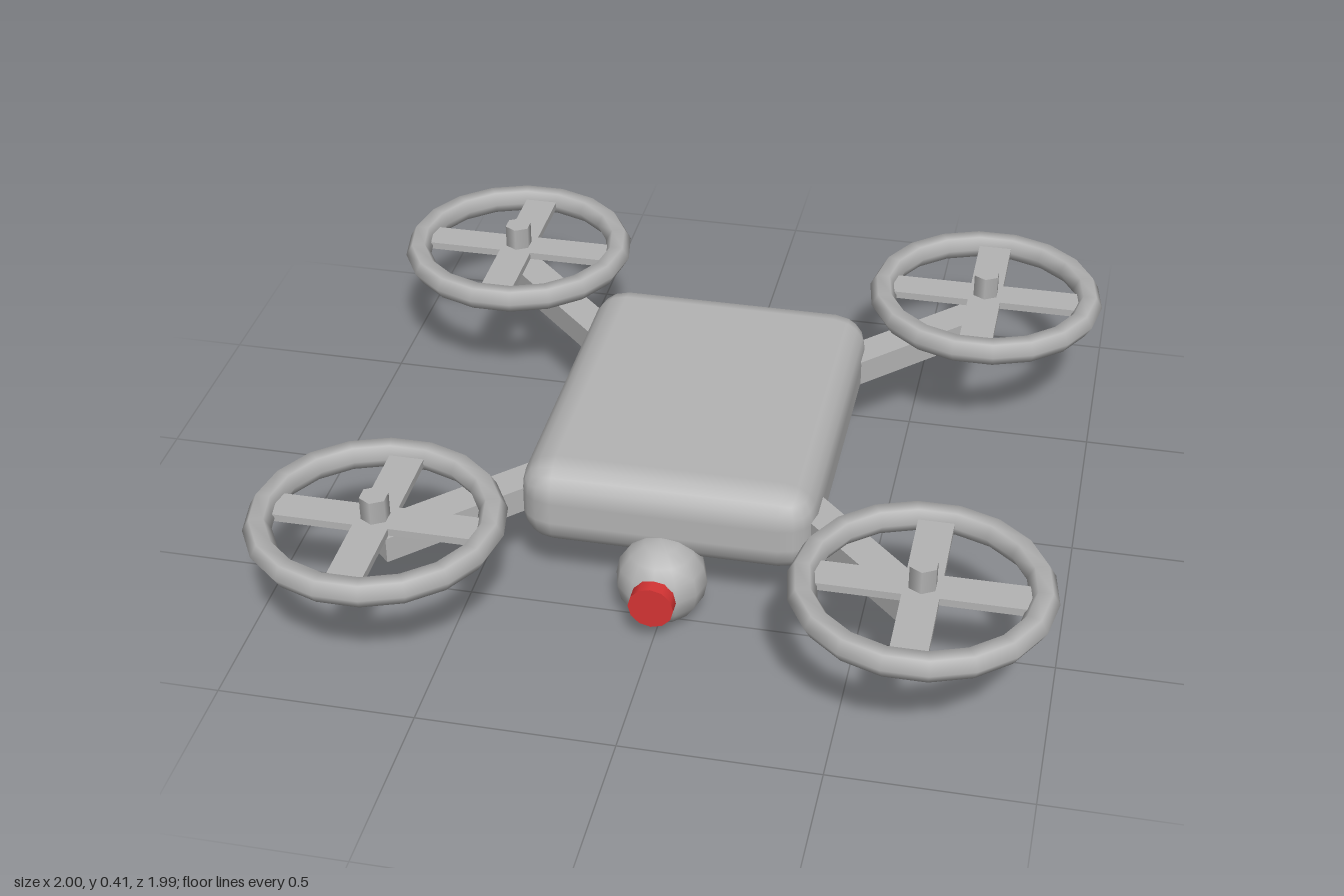
import * as THREE from 'three';
import { RoundedBoxGeometry } from 'three/addons/geometries/RoundedBoxGeometry.js';

export function createModel() {
  const grey = new THREE.MeshStandardMaterial({ color: 0xb4b4b4 });
  grey.name = 'light grey';
  const red = new THREE.MeshStandardMaterial({ color: 0xd63434 });
  red.name = 'lens red';

  const model = new THREE.Group();
  model.name = 'quadcopter';

  function add(parent, name, geometry, material, x = 0, y = 0, z = 0) {
    const mesh = new THREE.Mesh(geometry, material);
    mesh.name = name;
    mesh.position.set(x, y, z);
    parent.add(mesh);
    return mesh;
  }

  // Rounded central body
  add(model, 'body', new RoundedBoxGeometry(0.76, 0.238, 0.956, 2, 0.09), grey, 0, 0.269, 0);

  // Camera ball under the nose, with its lens
  add(model, 'cameraBall', new THREE.SphereGeometry(0.117, 12, 8), grey, 0, 0.122, 0.485);
  const lens = add(model, 'cameraLens', new THREE.CylinderGeometry(0.058, 0.058, 0.06, 12), red, 0, 0.124, 0.589);
  lens.rotation.x = Math.PI / 2;

  // Shared arm and rotor shapes
  const R = 0.675; // rotor centre in x and z
  const armStart = 0.25 * Math.SQRT2;
  const armLength = R * Math.SQRT2 - armStart;
  const armGeometry = new THREE.BoxGeometry(0.09, 0.07, armLength).translate(0, 0, armStart + armLength / 2);
  const ringGeometry = new THREE.TorusGeometry(0.289, 0.036, 6, 18).rotateX(Math.PI / 2);
  const bladeGeometry = new THREE.BoxGeometry(0.54, 0.02, 0.09);
  const hubGeometry = new THREE.CylinderGeometry(0.037, 0.037, 0.11, 6);

  // One arm and guarded rotor at each corner
  for (const sx of [-1, 1]) {
    for (const sz of [-1, 1]) {
      const place = (sz > 0 ? 'front' : 'back') + (sx > 0 ? 'Left' : 'Right');
      const arm = add(model, place + 'Arm', armGeometry, grey, 0, 0.27, 0);
      arm.rotation.y = Math.atan2(sx, sz);

      const rotor = new THREE.Group();
      rotor.name = place + 'Rotor';
      rotor.position.set(sx * R, 0.339, sz * R);
      model.add(rotor);
      add(rotor, 'guardRing', ringGeometry, grey);
      add(rotor, 'bladePair', bladeGeometry, grey);
      add(rotor, 'crossBladePair', bladeGeometry, grey).rotation.y = Math.PI / 2;
      add(rotor, 'hub', hubGeometry, grey, 0, 0.018, 0);
    }
  }
  return model;
}
